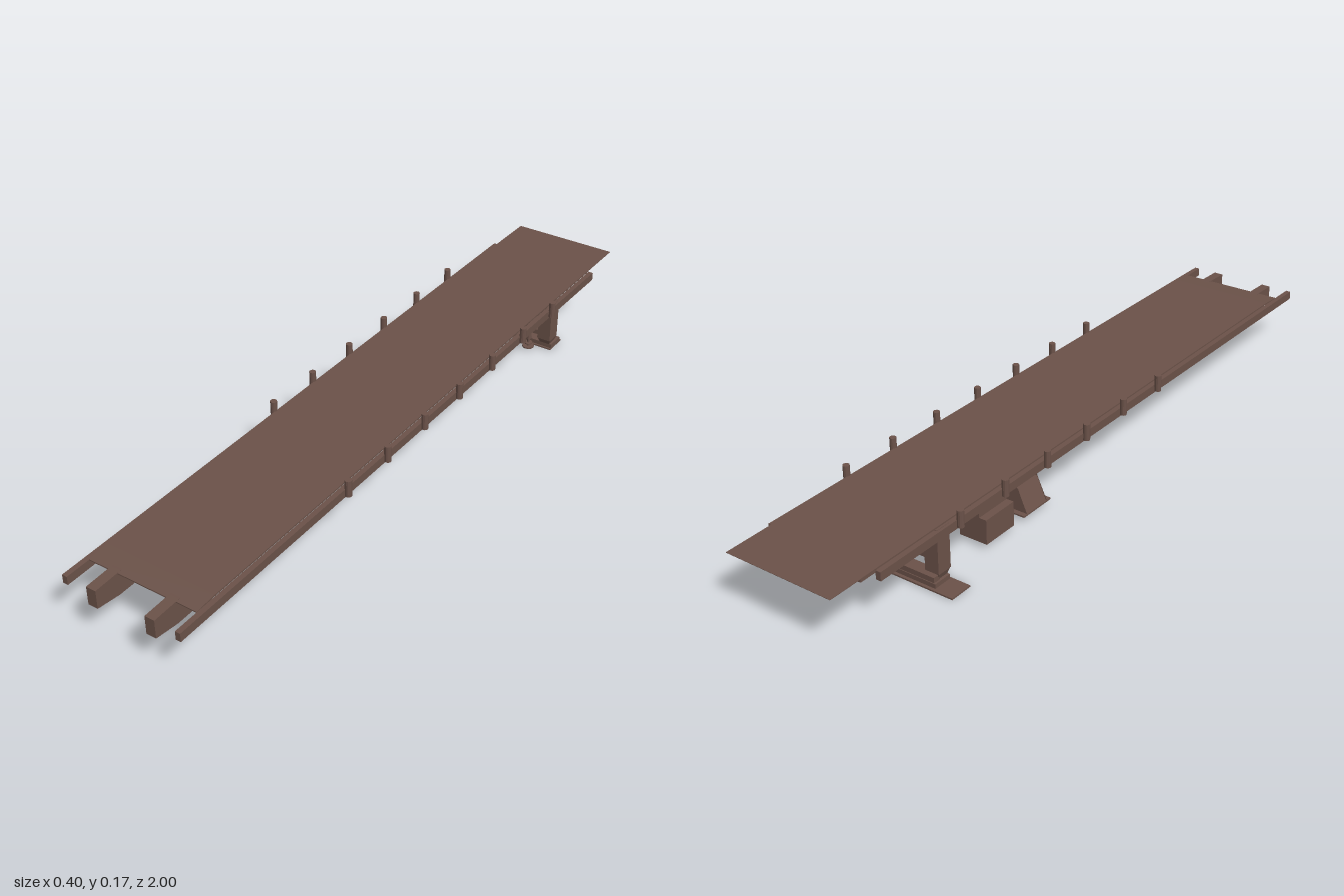
import * as THREE from 'three';

const CX = 0.018; // centre line of the bed
const material = new THREE.MeshStandardMaterial({
  color: 0x6b5249, flatShading: true, side: THREE.DoubleSide,
});

export function createModel() {
  const model = new THREE.Group();

  const add = (name, geometry, x = 0, y = 0, z = 0) => {
    const mesh = new THREE.Mesh(geometry, material);
    mesh.name = name;
    mesh.position.set(x, y, z);
    model.add(mesh);
    return mesh;
  };

  // Box given by its limits on each axis
  const box = (name, x0, x1, y0, y1, z0, z1) =>
    add(name, new THREE.BoxGeometry(x1 - x0, y1 - y0, z1 - z0),
      (x0 + x1) / 2, (y0 + y1) / 2, (z0 + z1) / 2);

  const shapeOf = (points) => new THREE.Shape(points.map(([a, b]) => new THREE.Vector2(a, b)));

  // Side profile of [z, y] points, extruded across x
  const profile = (name, points, x0, x1) => {
    const g = new THREE.ExtrudeGeometry(shapeOf(points), { depth: x1 - x0, bevelEnabled: false });
    g.rotateY(-Math.PI / 2); // shape x becomes z, depth runs towards -x
    return add(name, g, x1);
  };

  // Deck with a lowered front lip and a thin rear flap
  profile('deck', [[0.93, 0.146], [0.93, 0.149], [0.87, 0.153], [-0.86, 0.153], [-0.86, 0.149], [0.87, 0.149]],
    CX - 0.154, CX + 0.153);
  profile('rearFlap', [[-0.86, 0.151], [-0.86, 0.153], [-1, 0.152], [-1, 0.151]], CX - 0.154, CX + 0.153);

  for (const s of [-1, 1]) {
    // Outer rails
    const rail = CX + s * 0.16;
    box('sideRail', rail - 0.007, rail + 0.007, 0.125, 0.148, -0.86, 1);

    // Main beams, chamfered under the front end
    const beam = CX + s * 0.083;
    profile('mainBeam', [[1, 0.098], [1, 0.148], [0.92, 0.15], [-0.85, 0.15], [-0.85, 0.088], [0.93, 0.088]],
      beam - 0.0135, beam + 0.0135);

    // Stake posts
    const count = s > 0 ? 7 : 6;
    for (let i = 0; i < count; i++) {
      add('stakePost', new THREE.CylinderGeometry(0.009, 0.009, 0.045, 12),
        CX + s * 0.173, 0.1525, -0.597 + i * 0.1665);
    }

    // Support legs with tapered feet
    const leg = CX + s * 0.14;
    box('supportLeg', leg - 0.02, leg + 0.02, 0.03, 0.149, -0.665, -0.622);
    const foot = new THREE.CylinderGeometry(0.0283, 0.022, 0.014, 4);
    foot.rotateY(Math.PI / 4);
    add('legFoot', foot, leg, 0.023, -0.645);

    // Screw jacks in front of the legs
    const jack = CX + s * 0.104;
    box('jackBracket', jack - 0.014, jack + 0.014, 0.073, 0.092, -0.64, -0.59);
    add('jackBody', new THREE.CylinderGeometry(0.008, 0.008, 0.04, 12), jack, 0.055, -0.6);
    add('jackRod', new THREE.CylinderGeometry(0.004, 0.004, 0.03, 8), jack, 0.022, -0.6);
    add('jackCollar', new THREE.CylinderGeometry(0.012, 0.012, 0.003, 12), jack, 0.02, -0.6);
    add('jackFoot', new THREE.CylinderGeometry(0.017, 0.017, 0.004, 12), jack, 0.009, -0.6);
  }

  // Cross members between the legs and the ground step
  box('crossBeam', -0.11, 0.14, 0.06, 0.078, -0.66, -0.63);
  box('crossBeamTop', -0.11, 0.14, 0.078, 0.1, -0.655, -0.635);
  box('lowerBar', -0.14, 0.14, 0.016, 0.03, -0.68, -0.66);
  box('footBar', -0.145, 0.18, 0.003, 0.016, -0.682, -0.63);
  box('groundPlate', -0.2, 0.18, 0, 0.004, -0.69, -0.625);

  // Tool box hung under one side, with a raised mount
  box('toolBox', -0.136, -0.055, 0.013, 0.08, -0.482, -0.376);
  box('toolBoxMount', -0.115, -0.055, 0.08, 0.12, -0.482, -0.376);

  // Carrier: small box on a tray between two thin gussets
  const gusset = shapeOf([[-0.137, 0.018], [-0.07, 0.018], [-0.052, 0.088], [-0.052, 0.148], [-0.078, 0.148]]);
  for (const z of [-0.243, -0.324]) add('carrierGusset', new THREE.ShapeGeometry(gusset), 0, 0, z);
  const load = shapeOf([[-0.134, 0.02], [-0.071, 0.02], [-0.055, 0.08], [-0.109, 0.08]]);
  add('carrierBox', new THREE.ExtrudeGeometry(load, { depth: 0.079, bevelEnabled: false }), 0, 0, -0.323);
  box('carrierTray', -0.138, -0.069, 0.015, 0.019, -0.338, -0.228);

  return model;
}
